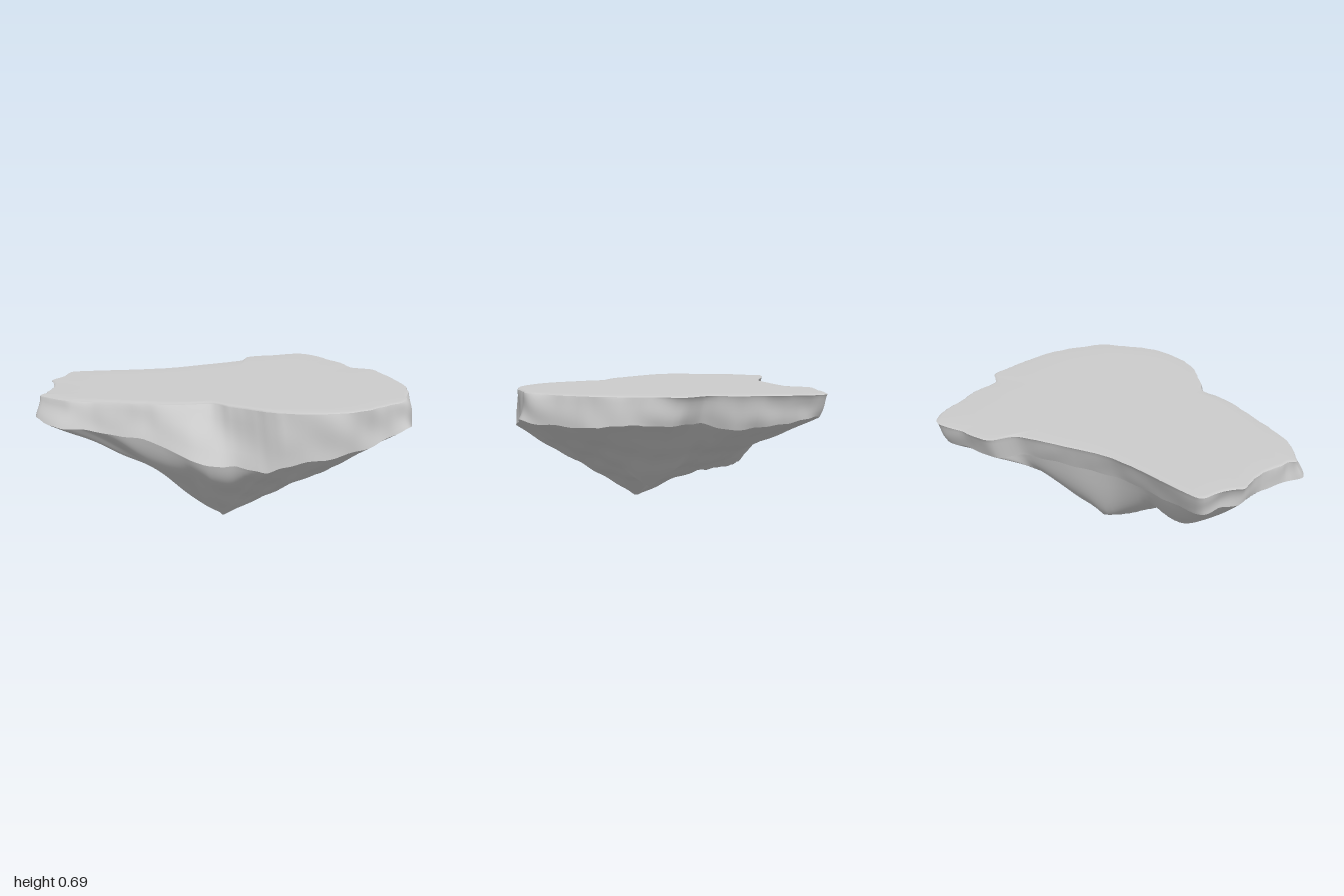
import * as THREE from 'three';

const N = 220;                                   // points around each loop
const TOP_Y = 0.69;
const KEEL = new THREE.Vector3(-0.03, 0, 0.36);  // lowest point

// Edge of the flat top (x, z), starting front left and running along the front
const TOP = [
  [-0.98, 0.40], [-0.83, 0.51], [-0.68, 0.55], [-0.50, 0.58], [-0.36, 0.61], [-0.22, 0.61],
  [-0.09, 0.60], [0.00, 0.67], [0.13, 0.75], [0.25, 0.81], [0.50, 0.82], [0.65, 0.76],
  [0.77, 0.67], [0.89, 0.56], [0.95, 0.38], [0.98, 0.20], [0.96, 0.00], [0.91, -0.24],
  [0.79, -0.32], [0.76, -0.46], [0.69, -0.60], [0.62, -0.77], [0.51, -0.84], [0.36, -0.79],
  [0.17, -0.72], [0.11, -0.58], [-0.10, -0.46], [-0.35, -0.33], [-0.60, -0.28], [-0.92, -0.23],
  [-0.95, -0.10], [-1.00, 0.00], [-0.96, 0.12], [-0.96, 0.34],
];

// Foot of the rim wall: shift in x and z from the top edge, and height
const RIM = [
  [-0.02, 0.04, 0.58], [-0.03, 0.06, 0.56], [0, 0.04, 0.54], [0, 0.05, 0.52], [0.03, 0.08, 0.49],
  [0.02, 0.14, 0.44], [0.01, 0.17, 0.41], [0.02, 0.09, 0.40], [0.03, 0.06, 0.39], [0.02, 0.02, 0.43],
  [0, 0.01, 0.47], [0.01, 0.01, 0.50], [0.03, 0, 0.53], [0.02, 0.04, 0.55], [0.02, 0.02, 0.54],
  [0.015, 0, 0.54], [0.015, 0.02, 0.55], [-0.02, 0.04, 0.55], [-0.03, 0.04, 0.55], [-0.03, 0.03, 0.52],
  [-0.03, 0.02, 0.53], [-0.03, 0.03, 0.56], [-0.01, 0.04, 0.57], [0, 0.04, 0.57], [0.01, 0.04, 0.56],
  [0.01, 0.04, 0.56], [0.01, 0.04, 0.55], [0.01, 0.04, 0.55], [0.01, 0.04, 0.55], [0.02, 0.03, 0.57],
  [0.02, 0.02, 0.57], [0.03, 0.01, 0.58], [0.01, 0, 0.58], [-0.01, 0, 0.58],
];

// Ridges hanging below: two ends (x, y, z) and side slope
const RIDGES = [
  { a: [-0.03, 0.00, 0.36], b: [-0.13, 0.05, 0.34], slope: 0.85 },   // blunt keel
  { a: [0.15, 0.12, 0.20], b: [0.40, 0.15, 0.12], slope: 0.72 },     // right spur
  { a: [0.00, 0.15, 0.08], b: [-0.10, 0.18, -0.18], slope: 0.70 },   // spine to the back
  { a: [-0.10, 0.18, -0.18], b: [-0.23, 0.18, -0.25], slope: 0.85 }, // back lump
  { a: [-0.23, 0.19, -0.24], b: [-0.42, 0.27, 0.02], slope: 0.85 },  // saddle
  { a: [-0.40, 0.27, 0.08], b: [-0.60, 0.24, 0.03], slope: 0.82 },   // left lump
];

const noise = (x, y, z) =>
  (Math.sin(9 * x + 4 * z + 1) * Math.cos(8 * z - 5 * y) +
   0.6 * Math.sin(19 * x - 13 * z + 7 * y) + 0.4 * Math.sin(31 * z + 23 * x + 2)) / 2;

function closedLoop(points) {
  const curve = new THREE.CatmullRomCurve3(points, true, 'catmullrom', 0.4);
  return Array.from({ length: N }, (_, i) => curve.getPoint(i / N));
}

// Skin joining successive closed loops
function loft(name, loops, material) {
  const pos = [], index = [];
  loops.forEach(loop => loop.forEach(p => pos.push(p.x, p.y, p.z)));
  for (let r = 0; r < loops.length - 1; r++) {
    for (let i = 0; i < N; i++) {
      const j = (i + 1) % N, a = r * N, b = a + N;
      index.push(a + i, b + i, b + j, a + i, b + j, a + j);
    }
  }
  const geo = new THREE.BufferGeometry();
  geo.setAttribute('position', new THREE.Float32BufferAttribute(pos, 3));
  geo.setIndex(index);
  geo.computeVertexNormals();
  const mesh = new THREE.Mesh(geo, material);
  mesh.name = name;
  return mesh;
}

// Height of a ridge's flank above a ground point
function ridgeHeight({ a, b, slope }, x, z) {
  const dx = b[0] - a[0], dz = b[2] - a[2];
  const k = THREE.MathUtils.clamp(((x - a[0]) * dx + (z - a[2]) * dz) / (dx * dx + dz * dz), 0, 1);
  return a[1] + k * (b[1] - a[1]) + slope * Math.hypot(x - a[0] - k * dx, z - a[2] - k * dz);
}

function smoothMin(a, b, k) {
  const h = Math.max(k - Math.abs(a - b), 0) / k;
  return Math.min(a, b) - h * h * k / 4;
}

// Point on the underside, t = 0 at the keel and 1 at the rim
function underside(rim, t) {
  const p = KEEL.clone().lerp(rim, t);
  const dx = rim.x - KEEL.x, dz = rim.z - KEEL.z, len = Math.hypot(dx, dz);
  const hollow = Math.max(0, (-0.88 * dx - 0.47 * dz) / len);   // back left is scooped out
  const main = rim.y * Math.pow(t, 1.03 - 0.45 * Math.pow(hollow, 1.5));
  let y = main;
  for (const r of RIDGES) y = smoothMin(y, ridgeHeight(r, p.x, p.z), 0.03);
  y = THREE.MathUtils.lerp(y, main, Math.pow(t, 18));
  y += 0.07 * t * (1 - t) * noise(p.x, y, p.z);
  p.y = Math.max(0, y);
  return p;
}

export function createModel() {
  const group = new THREE.Group();
  group.name = 'floatingRock';
  const stone = new THREE.MeshStandardMaterial({ color: 0xcccccc, roughness: 0.9 });

  const topEdge = closedLoop(TOP.map(([x, z]) => new THREE.Vector3(x, TOP_Y, z)));
  const rimFoot = closedLoop(TOP.map(([x, z], i) =>
    new THREE.Vector3(x + RIM[i][0], RIM[i][2], z + RIM[i][1])));

  // Roughen both edges a little
  topEdge.forEach((p, i) => {
    const s = 0.997 + 0.009 * noise(2.5 * p.x, 0, 2.5 * p.z);
    p.x *= s; p.z *= s;
    rimFoot[i].y += 0.012 * noise(1.5 * p.x, 1, 1.5 * p.z);
  });

  // Flat top
  const centre = new THREE.Vector3(KEEL.x, TOP_Y, KEEL.z);
  const topLoops = [0, 0.4, 0.8, 0.985, 1].map(t => topEdge.map(p => {
    const q = centre.clone().lerp(p, t);
    if (t === 1) q.y -= 0.008;
    return q;
  }));
  group.add(loft('flatTop', topLoops, stone));

  // Rough rim wall
  const wallLoops = [];
  for (let r = 0; r <= 8; r++) {
    const t = r / 8;
    wallLoops.push(topEdge.map((p, i) => {
      const q = p.clone().lerp(rimFoot[i], t);
      if (r === 0) q.y -= 0.008;
      const s = 1 + 0.018 * Math.sin(Math.PI * t) * noise(q.x, 2 * q.y, q.z);
      q.x *= s; q.z *= s;
      return q;
    }));
  }
  group.add(loft('rimWall', wallLoops, stone));

  // Craggy underside narrowing to the keel
  const underLoops = [];
  for (let r = 0; r <= 60; r++) underLoops.push(rimFoot.map(p => underside(p, 1 - r / 60)));
  group.add(loft('underside', underLoops, stone));

  return group;
}
